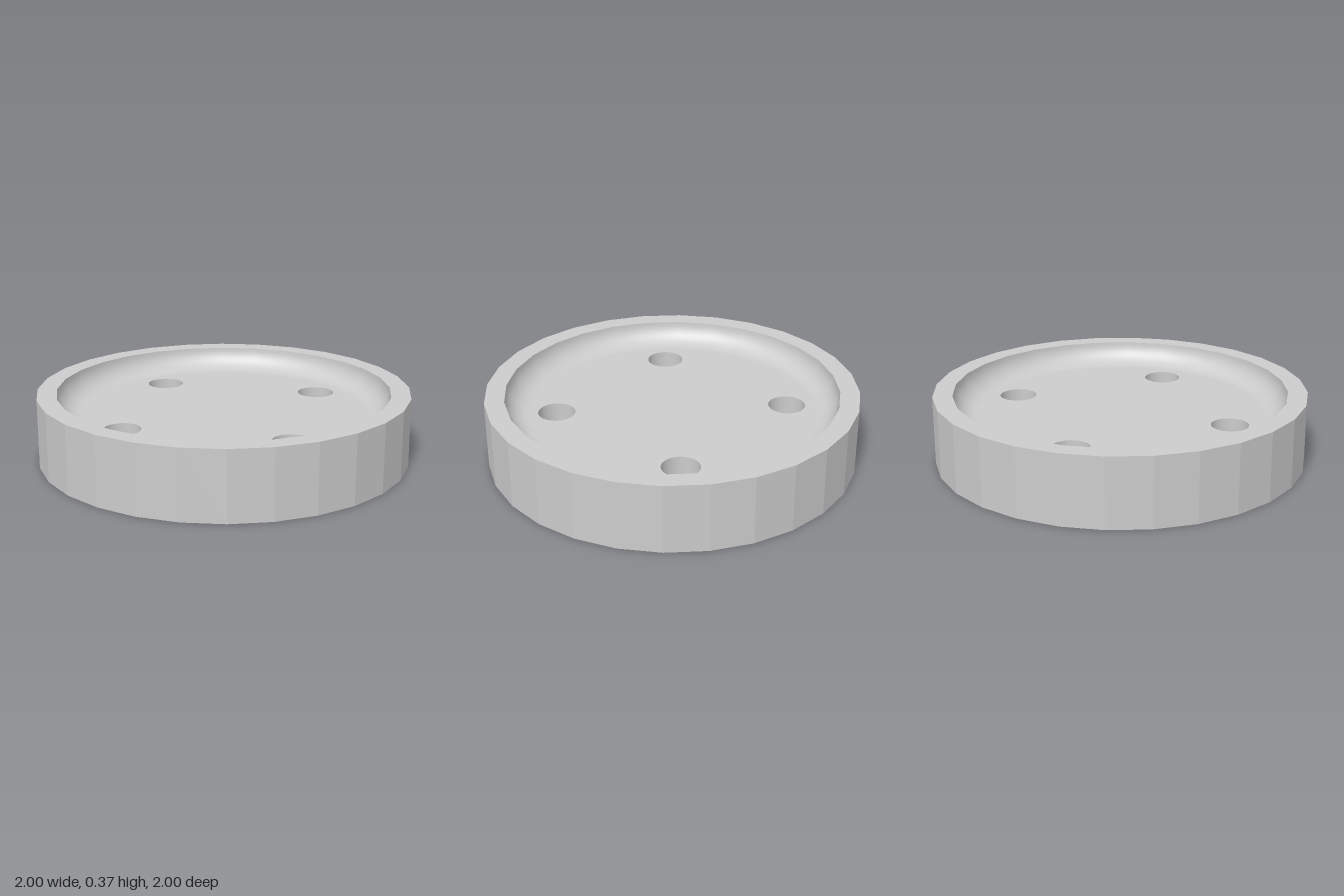
import * as THREE from 'three';

const SIDES = 28, RADIUS = 1, HEIGHT = 0.37;
const FLOOR = 0.25, INNER = 0.895, FILLET = HEIGHT - FLOOR;
const HOLE_POS = 0.44, HOLE_R = 0.1, HOLE_SIDES = 32;

const holeCentres = [];
for (const x of [-1, 1]) for (const z of [-1, 1]) holeCentres.push([x * HOLE_POS, z * HOLE_POS]);

const ring = (r, sides, cx = 0, cy = 0) => Array.from({ length: sides }, (_, i) => {
  const a = (i / sides) * Math.PI * 2;
  return new THREE.Vector2(cx + r * Math.cos(a), cy + r * Math.sin(a));
});

// Flat polygon disc pierced by the four holes
function piercedDisc(radius) {
  const shape = new THREE.Shape(ring(radius, SIDES));
  for (const [x, z] of holeCentres) shape.holes.push(new THREE.Path(ring(HOLE_R, HOLE_SIDES, x, z)));
  return new THREE.ShapeGeometry(shape);
}

function lathe(points, faceted) {
  let g = new THREE.LatheGeometry(points.map(([x, y]) => new THREE.Vector2(x, y)), SIDES);
  if (faceted) {
    g = g.toNonIndexed();
    g.computeVertexNormals();
  }
  return g;
}

export function createModel() {
  const group = new THREE.Group();
  const grey = new THREE.MeshStandardMaterial({ color: 0xcccccc });
  grey.name = 'light grey';

  const add = (name, geometry) => {
    const mesh = new THREE.Mesh(geometry, grey);
    mesh.name = name;
    group.add(mesh);
    return mesh;
  };

  // Faceted outer wall and flat rim
  add('outerWall', lathe([[RADIUS, 0], [RADIUS, HEIGHT]], true));
  add('rim', lathe([[RADIUS, HEIGHT], [INNER, HEIGHT]], true));

  // Rounded inner wall sweeping down to the dish floor
  const curve = [];
  for (let i = 0; i <= 10; i++) {
    const a = (i / 10) * Math.PI / 2;
    curve.push([INNER - FILLET + FILLET * Math.cos(a), HEIGHT - FILLET * Math.sin(a)]);
  }
  add('innerFillet', lathe(curve, false));

  // Dish floor and underside
  add('dishFloor', piercedDisc(INNER - FILLET).rotateX(-Math.PI / 2).translate(0, FLOOR, 0));
  add('underside', piercedDisc(RADIUS).rotateX(Math.PI / 2));

  // Hole walls, facing inwards (profile runs downwards)
  for (const [x, z] of holeCentres) {
    const wall = new THREE.LatheGeometry(
      [new THREE.Vector2(HOLE_R, FLOOR), new THREE.Vector2(HOLE_R, 0)], HOLE_SIDES);
    add('holeWall', wall).position.set(x, 0, z);
  }
  return group;
}
